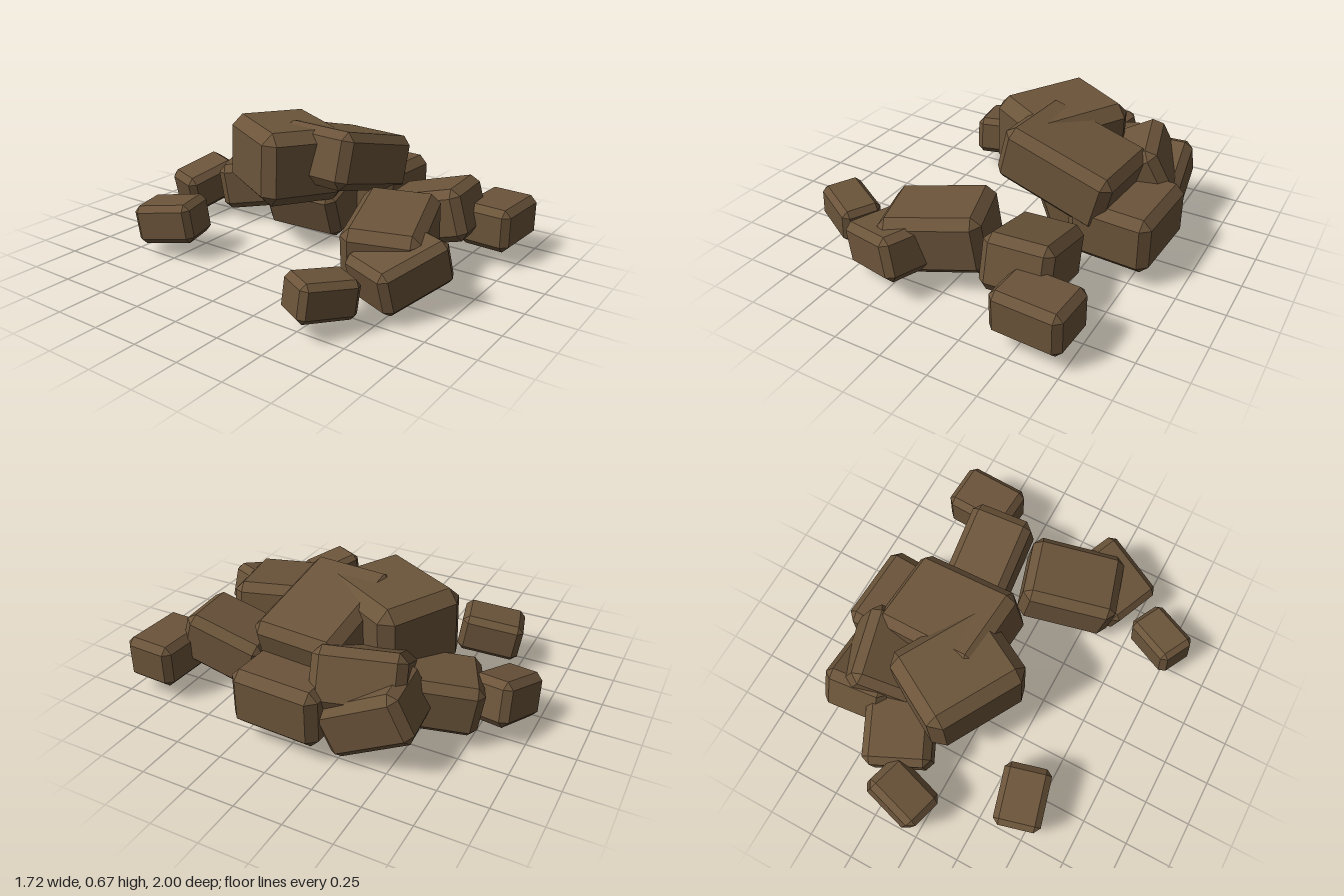
import * as THREE from 'three';
import { ConvexGeometry } from 'three/addons/geometries/ConvexGeometry.js';

// Box with every edge cut off flat; each corner becomes a small triangle
function chamferedBox(w, h, d) {
  const c = Math.min(w, h, d) * 0.15;
  const pts = [];
  for (const sx of [-1, 1]) for (const sy of [-1, 1]) for (const sz of [-1, 1]) {
    const x = w / 2, y = h / 2, z = d / 2;
    pts.push(new THREE.Vector3(sx * x, sy * (y - c), sz * (z - c)));
    pts.push(new THREE.Vector3(sx * (x - c), sy * y, sz * (z - c)));
    pts.push(new THREE.Vector3(sx * (x - c), sy * (y - c), sz * z));
  }
  return new ConvexGeometry(pts);
}

// name, size [w, h, d], centre [x, y, z], turn [pitch, yaw, roll]
const ROCKS = [
  // Main pile
  ['topBoulder', [0.48, 0.40, 0.57], [0.14, 0.455, -0.23], [0, -0.52, -0.03]],
  ['leaningBoulder', [0.62, 0.31, 0.47], [0.33, 0.455, 0.03], [0, -0.08, -0.25]],
  ['leftBoulder', [0.44, 0.30, 0.48], [0.64, 0.23, 0.04], [0, -0.05, 0]],
  ['tiltedRock', [0.38, 0.30, 0.45], [0.55, 0.335, -0.28], [0, 0.26, 0.48]],
  ['backLeftRock', [0.35, 0.27, 0.45], [0.62, 0.23, -0.37], [0.45, 0.1, 0]],
  ['backRock', [0.36, 0.27, 0.46], [0.33, 0.22, -0.54], [-0.15, 0.43, 0]],
  ['baseRock', [0.42, 0.30, 0.48], [0.36, 0.195, -0.18], [0, 0.05, 0.35]],
  // Rocks in front
  ['frontBoulder', [0.52, 0.31, 0.39], [-0.1, 0.245, 0.59], [0, 0.29, 0.14]],
  ['frontLeftRock', [0.355, 0.28, 0.45], [0.39, 0.235, 0.565], [-0.28, 0.07, 0]],
  ['frontRightRock', [0.41, 0.23, 0.32], [-0.28, 0.195, 0.74], [0, -0.4, 0.25]],
  // Scattered small stones
  ['frontStone', [0.37, 0.23, 0.28], [0.57, 0.195, 0.85], [0, -0.05, 0]],
  ['rightStone', [0.3, 0.19, 0.21], [-0.675, 0.17, 0.575], [0, -0.48, -0.13]],
  ['backRightStone', [0.25, 0.21, 0.33], [-0.415, 0.18, -0.575], [-0.15, 0.26, 0]],
  ['backStone', [0.33, 0.23, 0.23], [0.15, 0.18, -0.85], [0.1, -0.26, 0.25]],
];

export function createModel() {
  const group = new THREE.Group();
  group.name = 'rockPile';
  const rock = new THREE.MeshStandardMaterial({ color: 0x6b543a });
  rock.name = 'brownRock';
  for (const [name, size, centre, turn] of ROCKS) {
    const mesh = new THREE.Mesh(chamferedBox(...size), rock);
    mesh.name = name;
    mesh.position.set(...centre);
    mesh.rotation.set(...turn, 'YXZ');
    group.add(mesh);
  }
  return group;
}
